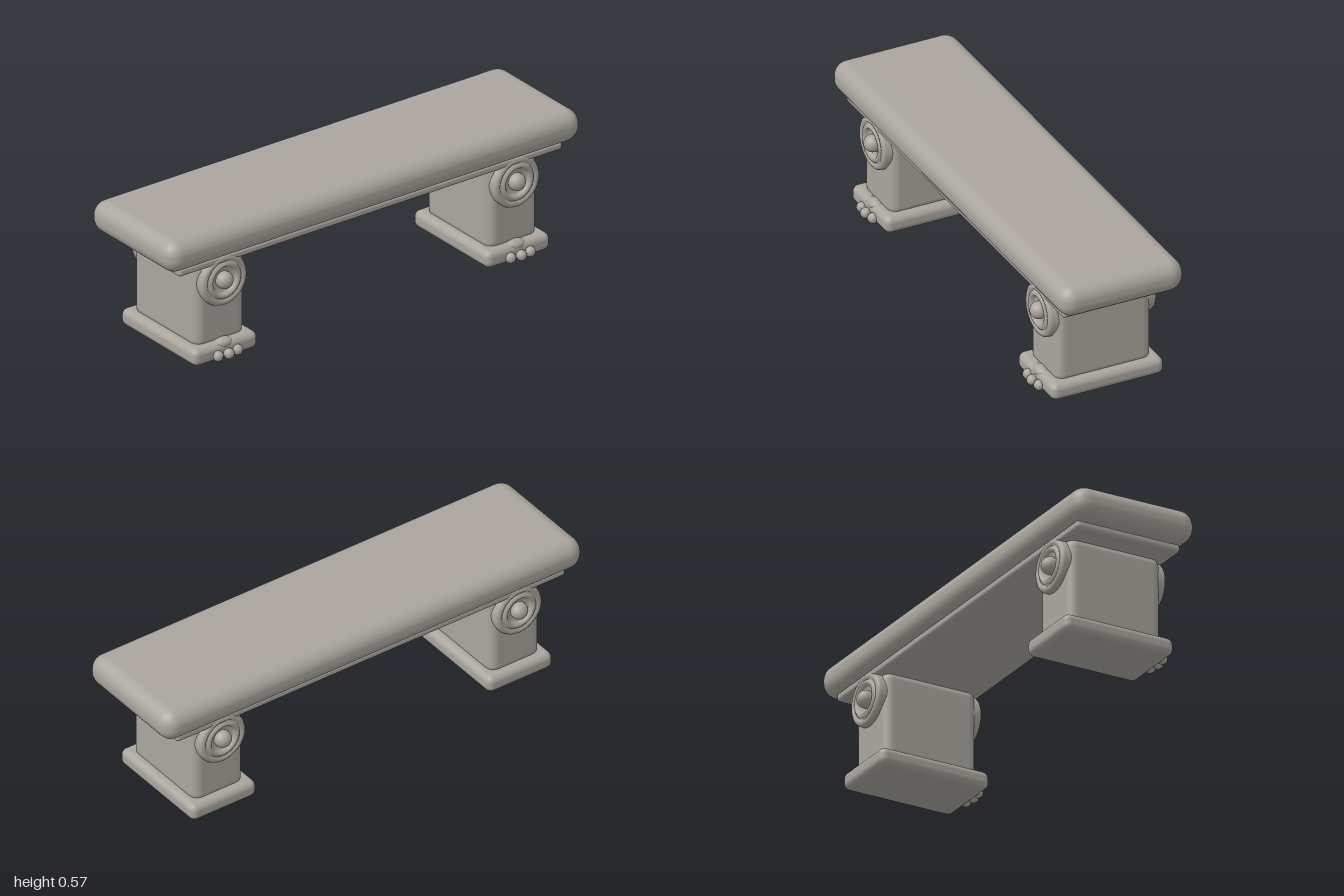
import * as THREE from 'three';
import { RoundedBoxGeometry } from 'three/addons/geometries/RoundedBoxGeometry.js';

export function createModel() {
  const stone = new THREE.MeshStandardMaterial({ color: 0xaaa69e });
  stone.name = 'warm grey stone';
  const model = new THREE.Group();
  model.name = 'bench';

  const add = (parent, name, geometry, x = 0, y = 0, z = 0) => {
    const mesh = new THREE.Mesh(geometry, stone);
    mesh.name = name;
    mesh.position.set(x, y, z);
    parent.add(mesh);
    return mesh;
  };
  // Rounded block given by its size and its bottom height
  const block = (parent, name, w, h, d, bottom, r, x = 0, z = -0.004) =>
    add(parent, name, new RoundedBoxGeometry(w, h, d, 4, r), x, bottom + h / 2, z);

  // Seat slab and the thinner slab under it
  block(model, 'seat', 2, 0.135, 0.538, 0.439, 0.062);
  block(model, 'underSlab', 1.855, 0.035, 0.462, 0.41, 0.014, -0.003);

  // Medallion profile: rounded rim, step, inner ring and sunken centre
  const profile = [
    [0.11, -0.02], [0.11, 0.014], [0.105, 0.023], [0.096, 0.028], [0.086, 0.026],
    [0.081, 0.02], [0.078, 0.025], [0.07, 0.031], [0.061, 0.029], [0.055, 0.02],
    [0.051, 0.01], [0, 0.01],
  ].map(([r, h]) => new THREE.Vector2(r, h));
  const medallionGeometry = new THREE.LatheGeometry(profile.reverse(), 32);
  // Lathe runs from the centre outward here; keep the surface facing outward
  const index = medallionGeometry.index.array;
  for (let i = 0; i < index.length; i += 3) {
    [index[i], index[i + 1]] = [index[i + 1], index[i]];
  }
  medallionGeometry.computeVertexNormals();
  medallionGeometry.rotateX(Math.PI / 2);
  const knobGeometry = new THREE.SphereGeometry(0.036, 20, 14);
  const toeGeometry = new THREE.SphereGeometry(0.022, 10, 8);

  for (const [side, x] of [['right', -0.71], ['left', 0.705]]) {
    const support = new THREE.Group();
    support.name = side + 'Support';
    support.position.x = x;
    model.add(support);

    block(support, 'leg', 0.24, 0.375, 0.413, 0.05, 0.04);
    block(support, 'foot', 0.31, 0.073, 0.487, 0.002, 0.028);

    // Medallions with a round knob on the front and the back
    for (const s of [1, -1]) {
      const medallion = new THREE.Group();
      medallion.name = s > 0 ? 'frontMedallion' : 'backMedallion';
      medallion.position.set(0, 0.335, -0.004 + s * 0.206);
      if (s < 0) medallion.rotation.y = Math.PI;
      support.add(medallion);
      add(medallion, 'disc', medallionGeometry);
      add(medallion, 'knob', knobGeometry, 0, 0, 0.02);
    }

    // Three toes and a low mound behind them
    for (const t of [-1, 0, 1]) {
      add(support, 'toe', toeGeometry, t * 0.047, 0.029, t ? 0.245 : 0.252);
    }
    const mound = add(support, 'toeMound', new THREE.SphereGeometry(1, 16, 10), 0, 0.062, 0.212);
    mound.scale.set(0.045, 0.022, 0.028);
  }
  return model;
}
